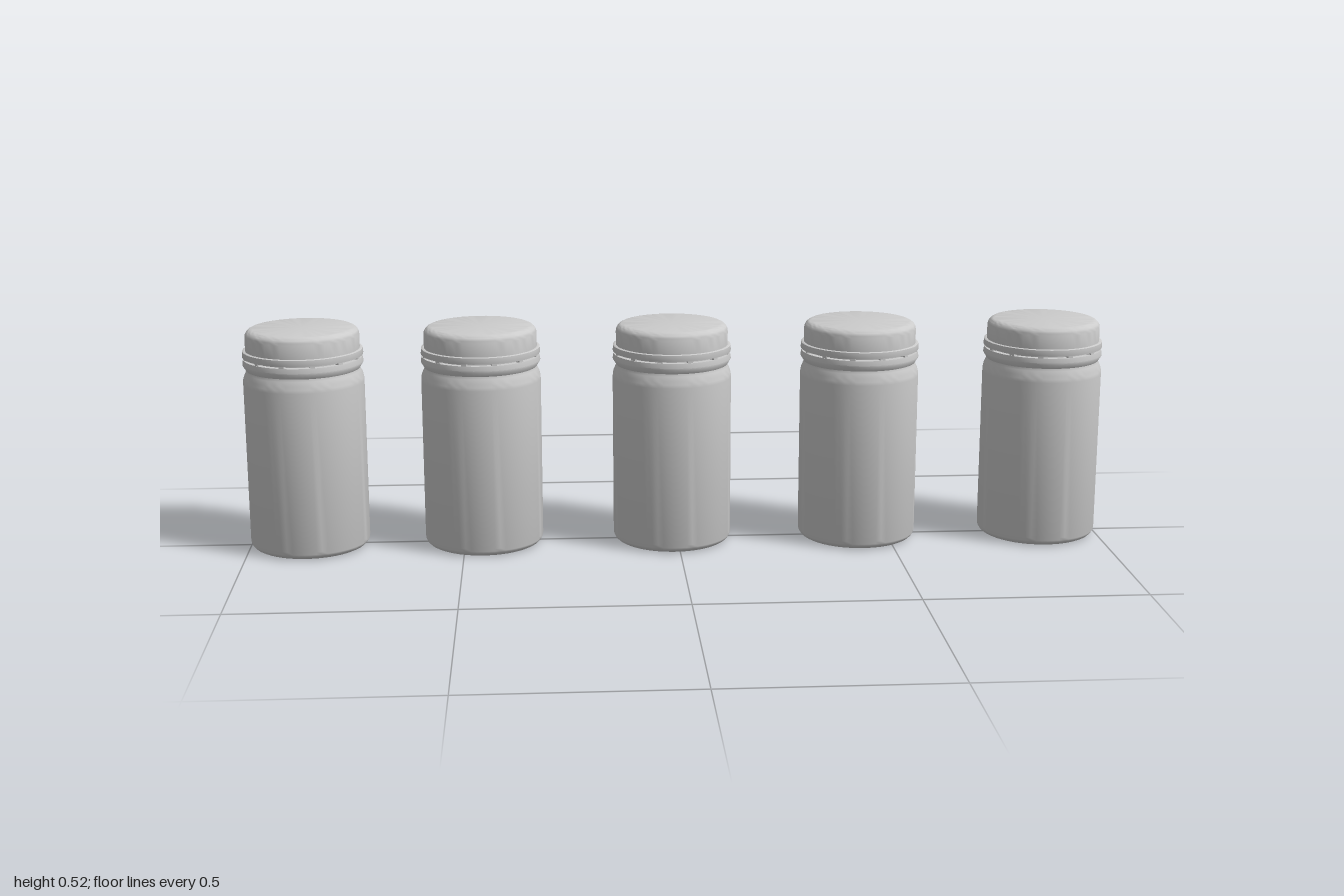
import * as THREE from 'three';
import { toCreasedNormals } from 'three/addons/utils/BufferGeometryUtils.js';

const material = new THREE.MeshStandardMaterial({ color: 0xcccccc });
const SEGMENTS = 64;

// Turned solid; the profile runs upwards so faces point outwards
function turned(profile) {
  const points = profile.map(([r, y]) => new THREE.Vector2(r, y));
  return toCreasedNormals(new THREE.LatheGeometry(points, SEGMENTS), 0.6);
}

// Quarter-round profile corner between two angles
function corner(r, y, radius, from, to, steps = 5) {
  return Array.from({ length: steps + 1 }, (_, i) => {
    const a = from + (to - from) * i / steps;
    return [r + radius * Math.cos(a), y + radius * Math.sin(a)];
  });
}

// Container with rounded base, sloping shoulder and neck
const bodyGeometry = turned([
  [0, 0],
  ...corner(0.118, 0.02, 0.02, -Math.PI / 2, 0),
  [0.138, 0.392], [0.1375, 0.4], [0.1355, 0.408], [0.131, 0.418],
  [0.129, 0.424], [0.129, 0.43], [0.122, 0.435], [0.122, 0.5], [0, 0.5],
]);

// Screw lid with a rounded top edge and a flared rim
const lidGeometry = turned([
  [0.124, 0.454], [0.137, 0.454], [0.1375, 0.456], [0.1365, 0.468],
  [0.135, 0.469], [0.130, 0.469],
  ...corner(0.112, 0.500, 0.018, 0, Math.PI / 2),
  [0, 0.518],
]);

// Seal ring below the lid, tapering in towards the shoulder
const ringGeometry = turned([
  [0.122, 0.424], [0.130, 0.424], [0.1375, 0.436], [0.1375, 0.438],
  [0.1355, 0.449], [0.122, 0.449],
]);

// Small bridges joining the seal ring to the lid
const bridgeGeometry = new THREE.BoxGeometry(0.012, 0.007, 0.012);
const BRIDGES = 12;

function createJar() {
  const jar = new THREE.Group();
  const add = (name, geometry) => {
    const mesh = new THREE.Mesh(geometry, material);
    mesh.name = name;
    jar.add(mesh);
    return mesh;
  };
  add('body', bodyGeometry);
  add('lid', lidGeometry);
  add('sealRing', ringGeometry);
  for (let i = 0; i < BRIDGES; i++) {
    const a = (i + 0.5) / BRIDGES * Math.PI * 2;
    const bridge = add('sealBridge', bridgeGeometry);
    bridge.position.set(Math.sin(a) * 0.128, 0.4515, Math.cos(a) * 0.128);
    bridge.rotation.y = a;
  }
  return jar;
}

export function createModel() {
  const model = new THREE.Group();
  model.name = 'jarRow';
  // Row of five jars, slightly unevenly spaced
  [-0.862, -0.455, -0.012, 0.428, 0.862].forEach((x, i) => {
    const jar = createJar();
    jar.name = `jar${i + 1}`;
    jar.position.x = x;
    model.add(jar);
  });
  return model;
}
